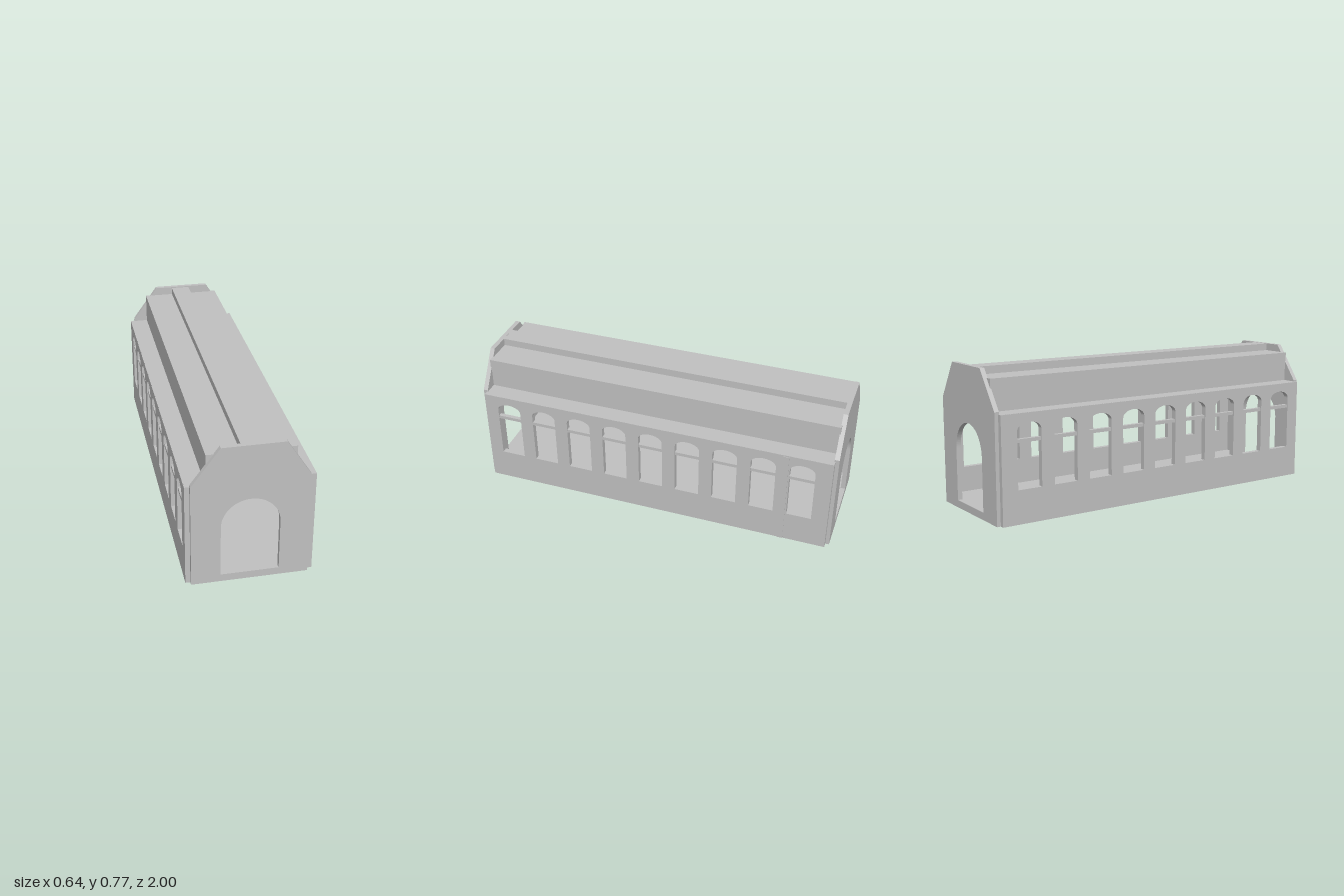
import * as THREE from 'three';

const WALL = 0.03; // side wall thickness
const LENGTH = 1.96; // hall length between the end gables

export function createModel() {
  const model = new THREE.Group();
  model.name = 'arcadeHall';
  const stone = new THREE.MeshStandardMaterial({ color: 0xc0c0c0 });
  stone.name = 'grey stone';

  const add = (name, geometry, x = 0, y = 0, z = 0) => {
    const mesh = new THREE.Mesh(geometry, stone);
    mesh.name = name;
    mesh.position.set(x, y, z);
    model.add(mesh);
    return mesh;
  };
  // Box given by its limits
  const block = (name, x0, x1, y0, y1, z0 = -LENGTH / 2, z1 = LENGTH / 2) =>
    add(name, new THREE.BoxGeometry(x1 - x0, y1 - y0, z1 - z0),
      (x0 + x1) / 2, (y0 + y1) / 2, (z0 + z1) / 2);
  const polygon = (points) => new THREE.Shape(points.map(([x, y]) => new THREE.Vector2(x, y)));
  // Opening with an elliptical head
  const archedHole = (cx, halfWidth, bottom, spring, top) => {
    const hole = new THREE.Path();
    hole.moveTo(cx - halfWidth, bottom);
    hole.lineTo(cx + halfWidth, bottom);
    hole.lineTo(cx + halfWidth, spring);
    hole.absellipse(cx, spring, halfWidth, top - spring, 0, Math.PI, false, 0);
    hole.closePath();
    return hole;
  };

  // Floor
  block('floor', -0.295, 0.295, 0, 0.04);

  // End gables with an arched doorway
  const gable = (name, z, rise) => {
    const shape = polygon([[-0.297, 0], [0.291, 0], [0.291, 0.565 + rise],
      [0.163, 0.763 + rise], [-0.152, 0.763 + rise], [-0.297, 0.565 + rise]]);
    shape.holes.push(archedHole(-0.003, 0.147, 0.04, 0.32, 0.468 + rise));
    add(name, new THREE.ExtrudeGeometry(shape,
      { depth: 0.025, bevelEnabled: false, curveSegments: 24 }), 0, 0, z);
  };
  gable('frontGable', 0.975, 0);
  gable('backGable', -1, 0.005);

  // Side walls, each with nine windows: tall lower light, arched upper light
  const windowCentres = Array.from({ length: 9 }, (_, i) => 0.007 + (i - 4) * 0.208);
  const half = 0.0675;
  const wall = polygon([[-LENGTH / 2, 0], [LENGTH / 2, 0],
    [LENGTH / 2, 0.557], [-LENGTH / 2, 0.557]]);
  for (const c of windowCentres) wall.holes.push(archedHole(c, half, 0.175, 0.47, 0.511));
  const wallGeometry = new THREE.ExtrudeGeometry(wall,
    { depth: WALL, bevelEnabled: false, curveSegments: 12 });
  add('leftWall', wallGeometry, 0.32).rotation.y = -Math.PI / 2;
  add('rightWall', wallGeometry, -0.292).rotation.y = -Math.PI / 2;

  for (const side of [-1, 1]) {
    const sideBlock = (name, inner, outer, y0, y1, z0, z1) =>
      block(name, Math.min(side * inner, side * outer), Math.max(side * inner, side * outer), y0, y1, z0, z1);

    // Window transoms, set just behind the wall face
    for (const c of windowCentres)
      sideBlock('transom', 0.295, 0.317, 0.41, 0.428, c - half, c + half);

    // Stepped roof: low ledge, upright clerestory, flat upper roof
    sideBlock('roofLedge', 0.2, 0.3195, 0.537, 0.5575);
    sideBlock('clerestoryWall', 0.2, 0.22, 0.5575, 0.702);
    sideBlock('upperRoof', 0.05, 0.22, 0.702, 0.722);
  }

  // Raised flat ridge
  block('ridge', -0.055, 0.05, 0.702, 0.762);

  // Pilaster through the left wall near the back
  block('pilaster', 0.272, 0.323, 0, 0.55, -0.75, -0.715);

  return model;
}
